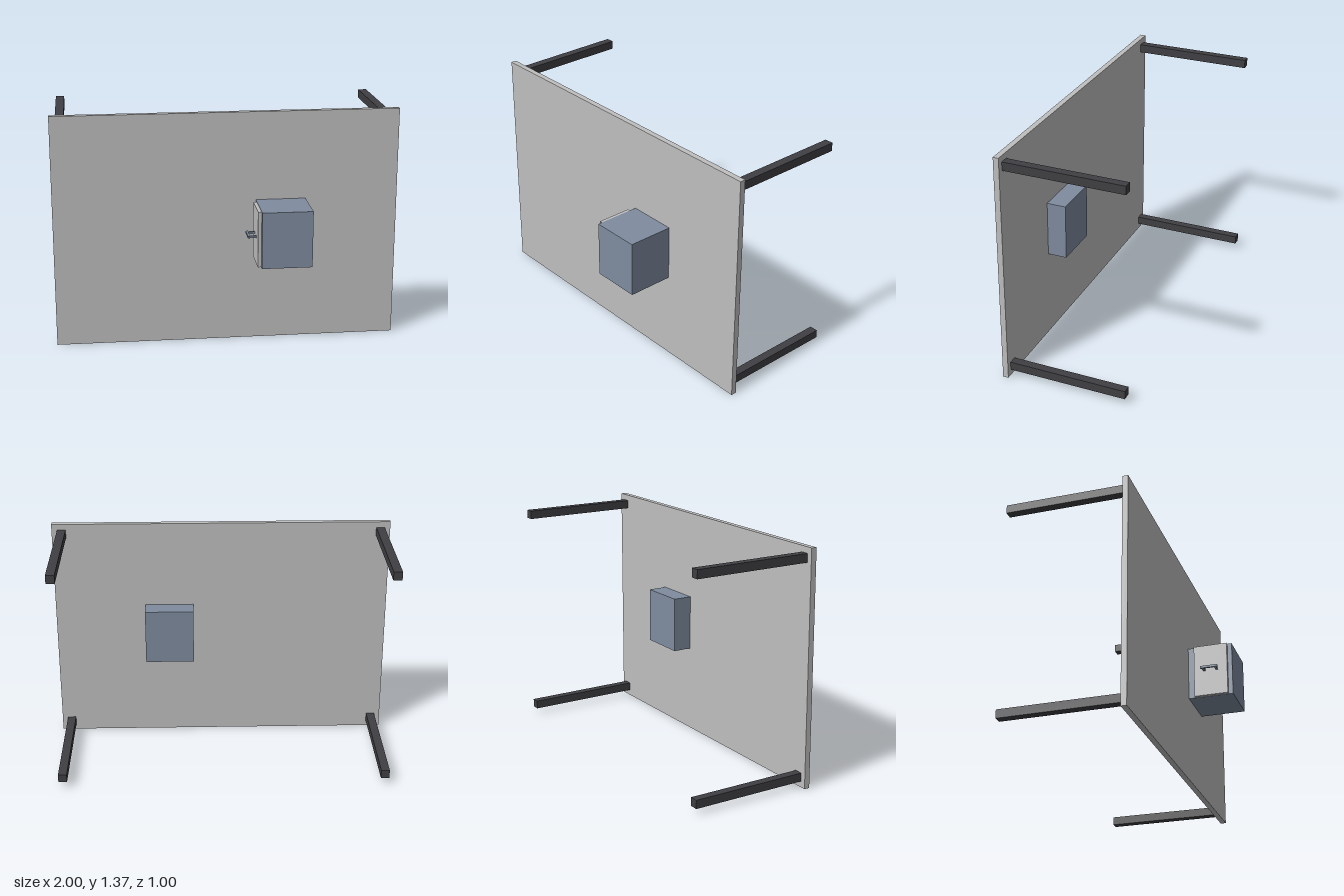
import * as THREE from 'three';

export function createModel() {
  const model = new THREE.Group();
  model.name = 'tippedDesk';

  const material = (name, color) => {
    const m = new THREE.MeshStandardMaterial({ color });
    m.name = name;
    return m;
  };
  const paleGrey = material('paleGrey', 0xbfbfbf);
  const slateBlue = material('slateBlue', 0x7f8c9f);
  const charcoal = material('charcoal', 0x404044);

  // Box given by its extents along each axis
  const box = (name, mat, [x0, x1], [y0, y1], [z0, z1], parent = model) => {
    const mesh = new THREE.Mesh(new THREE.BoxGeometry(x1 - x0, y1 - y0, z1 - z0), mat);
    mesh.name = name;
    mesh.position.set((x0 + x1) / 2, (y0 + y1) / 2, (z0 + z1) / 2);
    parent.add(mesh);
    return mesh;
  };

  // Desk top standing on its long edge
  box('deskTop', paleGrey, [-1, 1], [0, 1.37], [0.197, 0.23]);

  // Four legs reaching backwards from the corners
  for (const x of [-0.942, 0.942]) {
    for (const y of [0.06, 1.31]) {
      box('leg', charcoal, [x - 0.025, x + 0.025], [y - 0.025, y + 0.025], [-0.502, 0.197]);
    }
  }

  // Cabinet passing through the desk top
  box('cabinet', slateBlue, [0.17, 0.46], [0.521, 0.851], [0.083, 0.502]);

  // Drawer front on the cabinet's side, with a bar handle
  const drawer = new THREE.Group();
  drawer.name = 'drawer';
  model.add(drawer);
  box('drawerFront', paleGrey, [0.15, 0.17], [0.523, 0.849], [0.27, 0.475], drawer);
  box('handleBar', slateBlue, [0.1, 0.112], [0.679, 0.693], [0.32, 0.425], drawer);
  for (const z of [0.334, 0.411]) {
    box('handlePost', slateBlue, [0.112, 0.15], [0.68, 0.692], [z - 0.006, z + 0.006], drawer);
  }

  return model;
}
